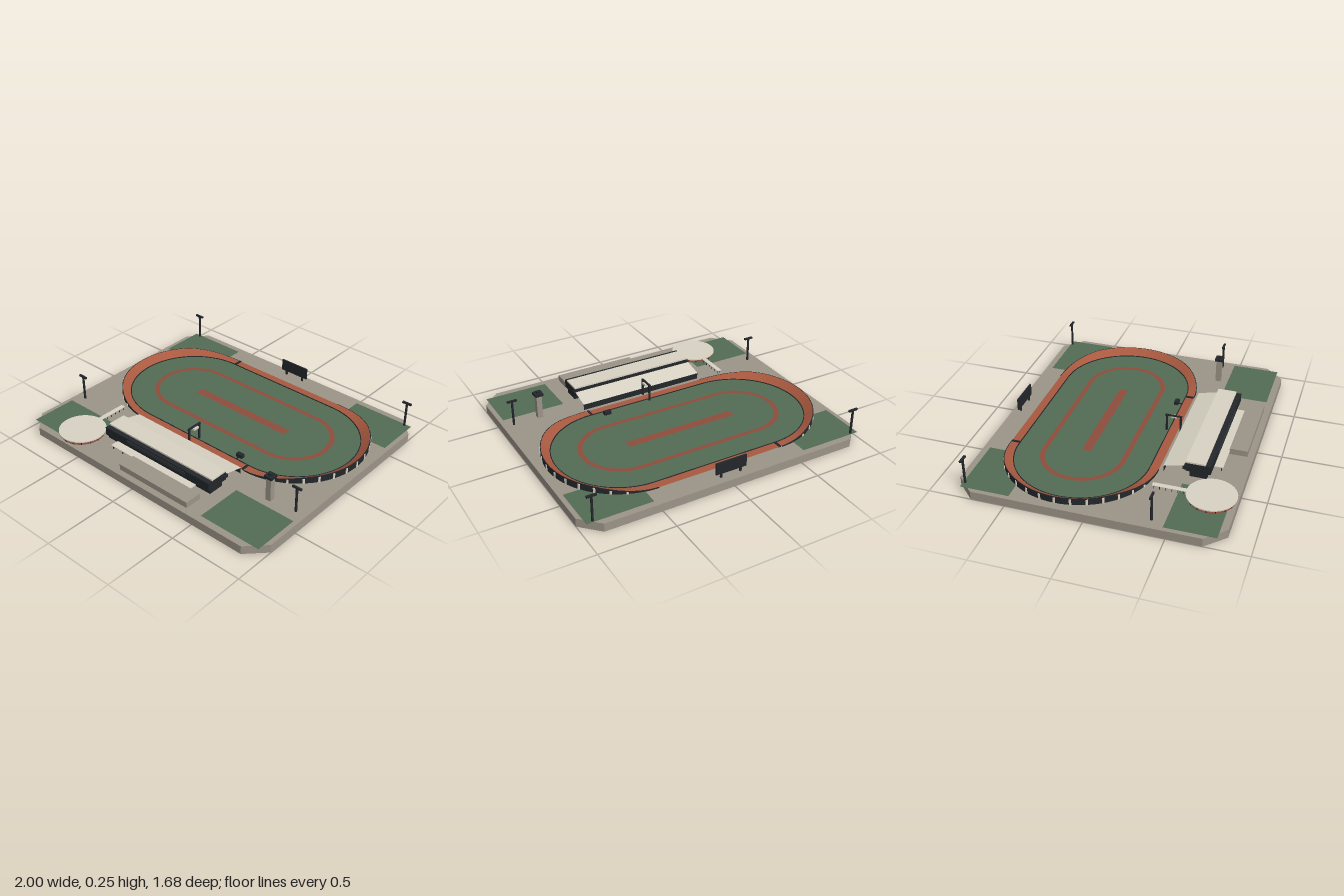
import * as THREE from 'three';

const STONE = 0x9c9488, GREEN = 0x536d55, DIRT = 0xa9593f, RED = 0x8f4c3b, DARK = 0x23272b, PALE = 0xd8d3c3;
const G = 0.057;            // ground level
const CZ = -0.197;          // track centre in z
const HALF = 0.445;         // half length of the straights

const mats = {};
const mat = (c) => mats[c] ??= new THREE.MeshStandardMaterial({ color: c, flatShading: true, side: THREE.DoubleSide });

function add(parent, name, geometry, color) {
  const m = new THREE.Mesh(geometry, mat(color));
  m.name = name;
  parent.add(m);
  return m;
}

// box given by its limits on each axis
function box(parent, name, color, x0, x1, y0, y1, z0, z1) {
  const m = add(parent, name, new THREE.BoxGeometry(x1 - x0, y1 - y0, z1 - z0), color);
  m.position.set((x0 + x1) / 2, (y0 + y1) / 2, (z0 + z1) / 2);
  return m;
}

function cylinder(parent, name, color, r, x, z, y0, y1, sides = 8) {
  const m = add(parent, name, new THREE.CylinderGeometry(r, r, y1 - y0, sides), color);
  m.position.set(x, (y0 + y1) / 2, z);
  return m;
}

// flat marking drawn in (x, -z) and laid at height y
function marking(parent, name, color, shape, y, z) {
  const g = new THREE.ShapeGeometry(shape, 40);
  g.rotateX(-Math.PI / 2);
  add(parent, name, g, color).position.set(0, y, z);
}

// flat rectangle on the ground
function patch(parent, name, color, x0, x1, y, z0, z1) {
  const g = new THREE.PlaneGeometry(x1 - x0, z1 - z0);
  g.rotateX(-Math.PI / 2);
  add(parent, name, g, color).position.set((x0 + x1) / 2, y, (z0 + z1) / 2);
}

function stadium(r, half, Type = THREE.Shape) {
  const s = new Type();
  s.moveTo(-half, -r);
  s.lineTo(half, -r);
  s.absarc(half, 0, r, -Math.PI / 2, Math.PI / 2, false);
  s.lineTo(-half, r);
  s.absarc(-half, 0, r, Math.PI / 2, Math.PI * 1.5, false);
  return s;
}

// rise of the outer edge at angle t (0..PI) round an end curve
function bank(t) {
  return 0.039 * THREE.MathUtils.smoothstep(Math.min(t, Math.PI - t), 0, 0.95);
}

// points round one end (side = 1 or -1); height is a function of the bank
function endPath(side, r, height, n = 40) {
  return Array.from({ length: n + 1 }, (_, i) => {
    const t = (i / n) * Math.PI;
    return new THREE.Vector3(side * (HALF + r * Math.sin(t)), height(bank(t)), CZ + side * r * Math.cos(t));
  });
}

function loopPath(r, height) {
  const p = [...endPath(1, r, height), ...endPath(-1, r, height)];
  return [...p, p[0]];
}

// surface between neighbouring paths of equal length
function loft(paths) {
  const n = paths[0].length, index = [];
  for (let j = 0; j + 1 < paths.length; j++) {
    for (let i = 0; i + 1 < n; i++) {
      const a = j * n + i, b = a + n;
      index.push(a, a + 1, b, a + 1, b + 1, b);
    }
  }
  const g = new THREE.BufferGeometry().setFromPoints(paths.flat());
  g.setIndex(index);
  g.computeVertexNormals();
  return g;
}

export function createModel() {
  const root = new THREE.Group();
  const group = (name) => {
    const g = new THREE.Group();
    g.name = name;
    root.add(g);
    return g;
  };

  // base with cut corners
  const corners = [[1, 0.72], [0.88, 0.842], [-0.88, 0.842], [-1, 0.72], [-1, -0.72], [-0.88, -0.842], [0.88, -0.842], [1, -0.72]];
  const outline = new THREE.Shape(corners.map(([x, y]) => new THREE.Vector2(x, y)));
  const slab = new THREE.ExtrudeGeometry(outline, { depth: G - 0.0004, bevelEnabled: false });
  slab.rotateX(-Math.PI / 2);
  add(root, 'base', slab, STONE).position.y = 0.0004;

  // lawns in the corners
  for (const [x0, x1] of [[-0.972, -0.54], [0.535, 0.97]]) {
    patch(root, 'backLawn', GREEN, x0, x1, G + 0.0015, -0.8, -0.48);
    patch(root, 'frontLawn', GREEN, x0, x1, G + 0.0015, 0.478, 0.797);
  }

  // infield with inner dirt ring and centre strip
  marking(root, 'infield', GREEN, stadium(0.442, HALF), G + 0.003, CZ);
  const ring = stadium(0.278, 0.437);
  ring.holes.push(stadium(0.246, 0.437, THREE.Path));
  marking(root, 'innerRing', RED, ring, G + 0.005, CZ);
  patch(root, 'centreStrip', RED, -0.39, 0.39, G + 0.005, CZ - 0.03, CZ + 0.03);

  // track, banked round both ends
  const track = group('track');
  add(track, 'trackSurface', loft([loopPath(0.441, () => G + 0.004), loopPath(0.5, (b) => G + 0.004 + b)]), DIRT);
  add(track, 'innerRail', loft([
    loopPath(0.438, () => G), loopPath(0.438, () => G + 0.007), loopPath(0.444, () => G + 0.007), loopPath(0.444, () => G),
  ]), DARK);
  for (const s of [-1, 1]) {
    add(track, 'bankWall', loft([
      endPath(s, 0.497, (b) => G + 0.006 + b), endPath(s, 0.502, (b) => G + 0.006 + b), endPath(s, 0.502, () => 0),
    ]), DARK);
    for (let i = 2; i <= 14; i++) {
      const t = (i / 16) * Math.PI, h = bank(t);
      const p = box(track, 'bankPost', PALE, -0.007, 0.007, G, G + h, -0.004, 0.004);
      p.position.x = s * (HALF + 0.502 * Math.sin(t));
      p.position.z = CZ + s * 0.502 * Math.cos(t);
      p.rotation.y = s > 0 ? t : t + Math.PI;
    }
    // strip across the track at the start of the curve
    const z = CZ + s * 0.471;
    box(track, 'crossingStrip', DARK, s * 0.432 - 0.007, s * 0.432 + 0.007, G, G + 0.011, z - 0.027, z + 0.027);
  }

  // grandstand
  const stand = group('grandstand');
  box(stand, 'lowerStorey', DARK, -0.45, 0.44, G, 0.095, 0.5, 0.61);
  box(stand, 'upperStorey', DARK, -0.45, 0.447, 0.092, 0.15, 0.475, 0.632);
  box(stand, 'roof', PALE, -0.45, 0.447, 0.15, 0.161, 0.471, 0.598);
  box(stand, 'windowBand', 0x30353a, -0.25, 0.25, 0.117, 0.14, 0.628, 0.636);
  box(stand, 'balcony', DARK, -0.45, 0.447, 0.1, 0.127, 0.453, 0.476);
  for (const x of [-0.455, 0.452]) box(stand, 'balconyEnd', DARK, x - 0.003, x + 0.003, 0.11, 0.13, 0.463, 0.503);

  // thin front wall and sloping terrace roof facing the track, open at the ends
  const across = (y, z) => [new THREE.Vector3(-0.45, y, z), new THREE.Vector3(0.447, y, z)];
  add(stand, 'trackWall', loft([across(0, 0.335), across(0.1, 0.335)]), DARK);
  add(stand, 'terraceRoof', loft([across(0.1, 0.332), across(0.13, 0.463)]), PALE);

  box(stand, 'entranceCanopy', PALE, -0.345, 0.34, 0.081, 0.087, 0.6, 0.687);
  for (let i = 0; i <= 8; i++) {
    const x = -0.335 + i * 0.083;
    box(stand, 'entrancePost', DARK, x - 0.003, x + 0.003, G, 0.082, 0.672, 0.678);
  }
  box(root, 'annex', STONE, -0.145, 0.425, G, 0.097, 0.684, 0.8);

  // round pavilion and covered walkway
  const pavilion = group('pavilion');
  cylinder(pavilion, 'pavilionRoof', PALE, 0.156, -0.625, 0.682, 0.079, 0.086, 48);
  cylinder(pavilion, 'pavilionFloor', RED, 0.145, -0.625, 0.682, 0, G + 0.004, 48);
  for (let i = 0; i < 16; i++) {
    const a = (i / 16) * Math.PI * 2;
    cylinder(pavilion, 'pavilionPost', DARK, 0.003, -0.625 + 0.145 * Math.cos(a), 0.682 + 0.145 * Math.sin(a), G, 0.08, 6);
  }
  box(pavilion, 'walkwayRoof', PALE, -0.642, -0.61, 0.079, 0.083, 0.315, 0.54);
  for (let i = 0; i < 6; i++) {
    for (const x of [-0.637, -0.615]) cylinder(pavilion, 'walkwayPost', DARK, 0.002, x, 0.325 + i * 0.037, G, 0.08, 6);
  }

  // gantry over the track
  const gantry = group('gantry');
  for (const z of [0.228, 0.322]) box(gantry, 'gantryPost', DARK, -0.006, 0.006, G, 0.176, z - 0.006, z + 0.006);
  box(gantry, 'gantryBeam', DARK, -0.007, 0.007, 0.173, 0.18, 0.217, 0.33);
  box(gantry, 'gantryPanel', PALE, 0, 0.02, 0.158, 0.173, 0.252, 0.294);

  // judges' box beside the straight
  box(root, 'judgesBox', DARK, 0.31, 0.358, G, 0.084, 0.193, 0.221);
  box(root, 'judgesStep', DARK, 0.329, 0.338, G, 0.066, 0.221, 0.245);

  // observation tower
  const tower = group('tower');
  box(tower, 'towerShaft', STONE, 0.72, 0.757, G, 0.221, 0.39, 0.428);
  box(tower, 'towerCabin', DARK, 0.71, 0.767, 0.22, 0.238, 0.38, 0.437);
  box(tower, 'towerCap', DARK, 0.728, 0.748, 0.238, 0.25, 0.4, 0.42);

  // floodlights
  for (const x of [-0.925, 0.925]) {
    for (const z of [-0.787, 0.397]) {
      const light = group('floodlight');
      cylinder(light, 'lightPole', DARK, 0.008, x, z, G, 0.228);
      box(light, 'lightHead', DARK, x - 0.033, x + 0.033, 0.226, 0.238, z - 0.007, z + 0.007);
    }
  }

  // display board on two legs
  const board = group('displayBoard');
  box(board, 'boardPanel', DARK, -0.11, 0.108, 0.085, 0.167, -0.793, -0.783);
  for (const x of [-0.07, 0.07]) box(board, 'boardLeg', DARK, x - 0.006, x + 0.006, G, 0.09, -0.793, -0.783);

  return root;
}
